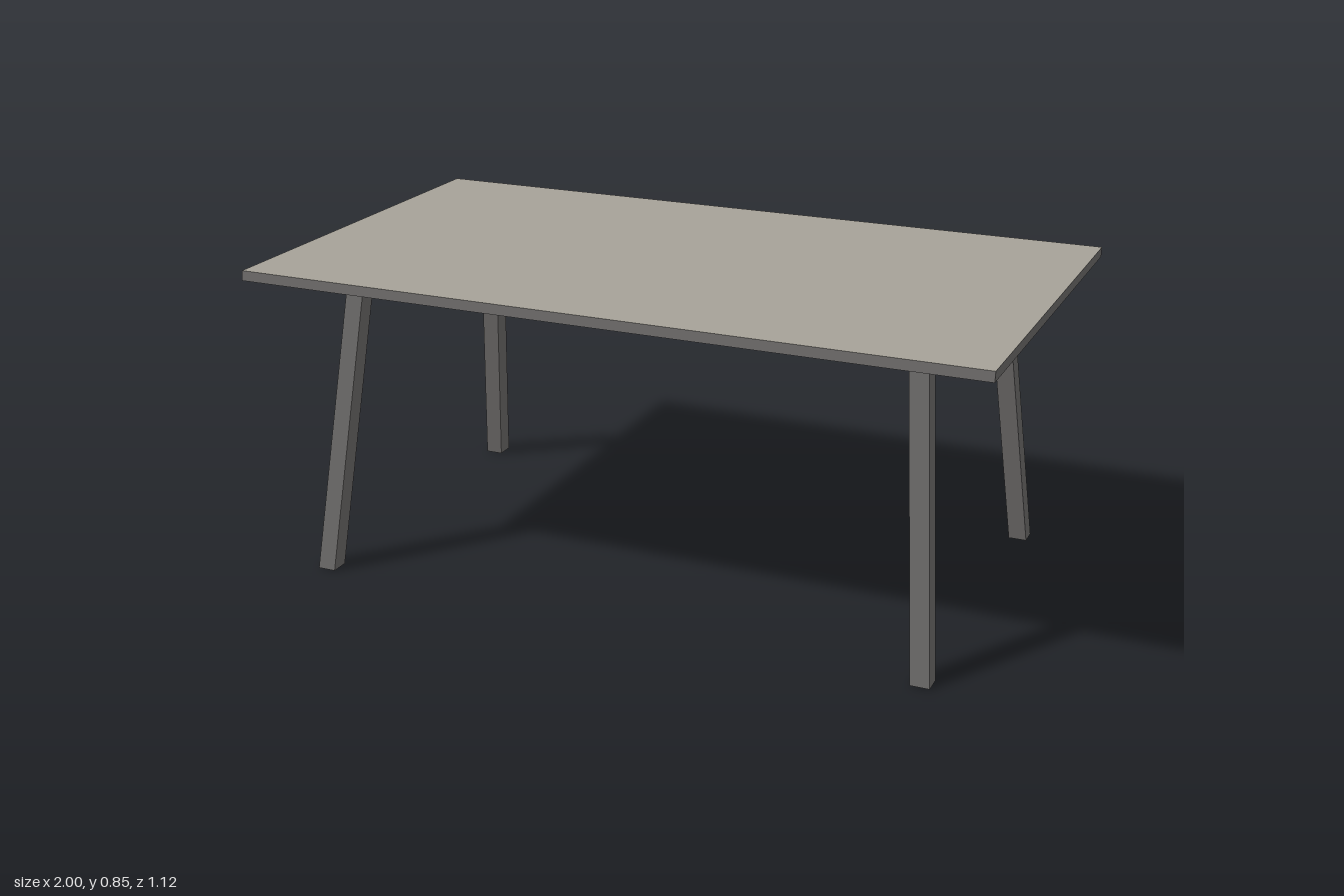
import * as THREE from 'three';

const topSurface = new THREE.MeshStandardMaterial({ color: 0xa6a298 });
topSurface.name = 'warm grey top';
const frame = new THREE.MeshStandardMaterial({ color: 0x6c6a69 });
frame.name = 'dark grey frame';

// Box whose horizontal ends are shifted: bottom centre (x0, z0), top centre (x1, z1)
function slantedBox(width, depth, y0, y1, [x0, z0], [x1, z1]) {
  const height = y1 - y0;
  const geometry = new THREE.BoxGeometry(width, height, depth);
  const p = geometry.attributes.position;
  for (let i = 0; i < p.count; i++) {
    const t = p.getY(i) / height + 0.5;
    p.setXYZ(
      i,
      p.getX(i) + THREE.MathUtils.lerp(x0, x1, t),
      y0 + t * height,
      p.getZ(i) + THREE.MathUtils.lerp(z0, z1, t)
    );
  }
  geometry.computeVertexNormals();
  return geometry;
}

export function createModel() {
  const table = new THREE.Group();
  table.name = 'table';

  // Thin tabletop with slightly slanted long edges; only its upper face is light
  const tabletop = new THREE.Mesh(
    slantedBox(2, 1.118, 0.824, 0.85, [0, 0.002], [0, -0.002]),
    [frame, frame, topSurface, frame, frame, frame]
  );
  tabletop.name = 'tabletop';
  table.add(tabletop);

  // Four square legs splayed outwards
  for (const [side, sx] of [['Left', 1], ['Right', -1]]) {
    for (const [end, sz] of [['front', 1], ['back', -1]]) {
      const leg = new THREE.Mesh(
        slantedBox(0.05, 0.051, 0, 0.824,
          [0.845 * sx, 0.477 * sz - 0.007],
          [0.77 * sx, 0.356 * sz - 0.007]),
        frame
      );
      leg.name = `${end}${side}Leg`;
      table.add(leg);
    }
  }
  return table;
}
